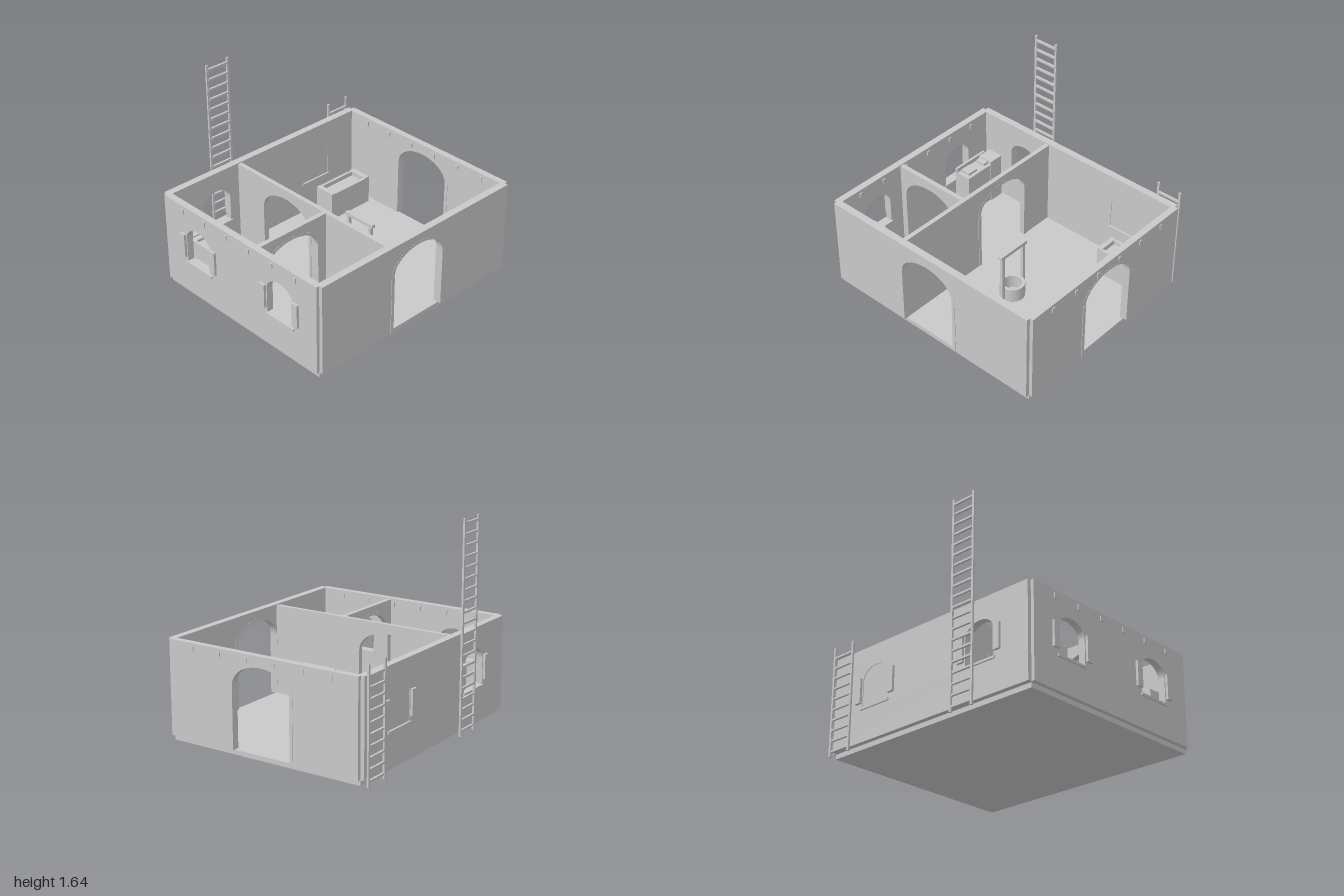
import * as THREE from 'three';

const plaster = new THREE.MeshStandardMaterial({ color: 0xc8c8c8 });
plaster.name = 'light grey plaster';

const FLOOR = 0.037, WALL0 = 0.043, WALL1 = 0.778;
const TRIM = 0.028, SPRING = 0.53;

export function createModel() {
  const root = new THREE.Group();
  root.name = 'openHouse';

  const add = (name, geo, parent = root) => {
    const m = new THREE.Mesh(geo, plaster);
    m.name = name;
    parent.add(m);
    return m;
  };
  // box given by its limits on each axis
  const box = (name, x0, x1, y0, y1, z0, z1, parent = root) => {
    const m = add(name, new THREE.BoxGeometry(x1 - x0, y1 - y0, z1 - z0), parent);
    m.position.set((x0 + x1) / 2, (y0 + y1) / 2, (z0 + z1) / 2);
    return m;
  };
  const extrude = (shape, depth) =>
    new THREE.ExtrudeGeometry(shape, { depth, bevelEnabled: false, curveSegments: 12 });

  // outline of an arched opening, left foot to right foot
  const archTo = (path, c, hw, y0, spring, top) => {
    path.lineTo(c - hw, y0);
    path.lineTo(c - hw, spring);
    path.absellipse(c, spring, hw, top - spring, Math.PI, 0, true);
    path.lineTo(c + hw, y0);
  };
  const windowShape = (c, path) => {
    path.moveTo(c - 0.134, 0.305);
    archTo(path, c, 0.134, 0.305, 0.515, 0.617);
    path.closePath();
    return path;
  };

  // wall running along local x, thickness along local z, with doors and windows
  const wall = (name, u0, u1, thick, top, doors, windows, blocked = []) => {
    const g = new THREE.Group();
    g.name = name;
    const s = new THREE.Shape();
    s.moveTo(u0, WALL0);
    for (const c of doors) archTo(s, c, 0.25 + TRIM, WALL0, SPRING, 0.715);
    s.lineTo(u1, WALL0);
    s.lineTo(u1, top);
    s.lineTo(u0, top);
    s.closePath();
    for (const c of windows) s.holes.push(windowShape(c, new THREE.Path()));
    add(name + 'Panel', extrude(s, thick), g);

    // door surrounds: arch almost flush, posts a little prouder
    for (const c of doors) {
      const o = 0.25 + TRIM;
      const r = new THREE.Shape();
      r.moveTo(c - o, SPRING);
      r.absellipse(c, SPRING, o, 0.185, Math.PI, 0, true);
      r.lineTo(c + 0.25, SPRING);
      r.absellipse(c, SPRING, 0.25, 0.165, 0, Math.PI, false);
      r.closePath();
      add('doorArch', extrude(r, thick + 0.003), g).position.z = -0.0015;
      box('doorPost', c - o, c - 0.25, WALL0, SPRING, -0.004, thick + 0.004, g);
      box('doorPost', c + 0.25, c + o, WALL0, SPRING, -0.004, thick + 0.004, g);
    }
    // closed panes set slightly back from both faces
    for (const c of blocked) {
      add('closedPane', extrude(windowShape(c, new THREE.Shape()), thick - 0.01), g).position.z = 0.005;
    }
    root.add(g);
    return g;
  };
  // sill and shutters on the outer side of the wall
  const dressWindow = (g, c, thick) => {
    box('windowSill', c - 0.147, c + 0.147, 0.29, 0.308, -0.01, thick + 0.012, g);
    for (const s of [-1, 1]) {
      const x = c + s * 0.17;
      box('shutter', x - 0.027, x + 0.027, 0.345, 0.54, thick, thick + 0.02, g);
    }
  };

  // foundation slab
  box('floorSlab', -0.802, 0.838, 0, FLOOR, -0.963, 0.952);

  // outer walls
  const front = wall('frontWall', -0.802, 0.838, 0.055, WALL1, [], [-0.423, 0.463]);
  front.position.z = 0.922;
  for (const c of [-0.423, 0.463]) dressWindow(front, c, 0.055);

  const back = wall('backWall', -0.802, 0.838, 0.052, WALL1, [0.017], []);
  back.position.z = -0.992;

  const leftSide = wall('leftSideWall', -0.963, 0.951, 0.058, WALL1, [-0.003], []);
  leftSide.rotation.y = -Math.PI / 2;
  leftSide.position.x = 0.867;

  const rightSide = wall('rightSideWall', -0.963, 0.951, 0.058, WALL1, [], [-0.527, 0.509], [-0.527]);
  rightSide.rotation.y = -Math.PI / 2;
  rightSide.position.x = -0.774;
  for (const c of [-0.527, 0.509]) dressWindow(rightSide, c, 0.058);

  // inner partitions
  const cross = wall('crossPartition', -0.775, 0.81, 0.036, 0.77, [-0.23], []);
  cross.position.z = 0.248;
  const divider = wall('roomDivider', 0.284, 0.922, 0.038, 0.77, [0.617], []);
  divider.rotation.y = -Math.PI / 2;
  divider.position.x = 0.203;

  // roof beam ends showing on both faces of the front and back walls
  for (let i = 0; i < 6; i++) {
    const x = -0.588 + i * 0.2428;
    box('beamEnd', x - 0.012, x + 0.012, 0.712, 0.752, 0.912, 0.986);
    box('beamEnd', x - 0.012, x + 0.012, 0.712, 0.752, -1, -0.93);
  }

  // upright ladders outside
  const ladder = (name, z0, z1, top, lastRung) => {
    const g = new THREE.Group();
    g.name = name;
    for (const z of [z0, z1 - 0.018]) box('ladderRail', -0.87, -0.855, 0, top, z, z + 0.018, g);
    for (let y = lastRung; y > 0.02; y -= 0.0825) {
      box('ladderRung', -0.868, -0.851, y - 0.008, y + 0.008, z0 + 0.01, z1 - 0.01, g);
    }
    root.add(g);
  };
  ladder('tallLadder', 0.265, 0.48, 1.645, 1.607);
  ladder('shortLadder', -0.966, -0.752, 0.866, 0.782);

  // well with two posts and a crossbar
  const well = new THREE.Group();
  well.name = 'well';
  const ring = [[0.072, 0], [0.098, 0], [0.098, 0.115], [0.072, 0.115], [0.072, 0]];
  const profile = [];
  for (let i = 0; i < 4; i++) { // extra points beside each corner keep the rim sharp
    const a = new THREE.Vector2(...ring[i]), b = new THREE.Vector2(...ring[i + 1]);
    profile.push(a, a.clone().lerp(b, 0.02), a.clone().lerp(b, 0.98));
  }
  profile.push(new THREE.Vector2(...ring[4]));
  add('wellRing', new THREE.LatheGeometry(profile, 24), well).position.set(0.112, WALL0, -0.16);
  for (const s of [-1, 1]) {
    const x = 0.11 + s * 0.115;
    box('wellPost', x - 0.012, x + 0.012, WALL0, 0.465, -0.172, -0.147, well);
  }
  box('wellCrossbar', -0.034, 0.252, 0.462, 0.49, -0.177, -0.145, well);
  root.add(well);

  // bed frame with raised ends and sides
  box('bedBase', -0.68, -0.543, WALL0, 0.24, -0.85, -0.51);
  box('bedHeadboard', -0.7, -0.52, WALL0, 0.28, -0.893, -0.85);
  box('bedFootboard', -0.7, -0.52, WALL0, 0.28, -0.512, -0.473);
  for (const x of [-0.7, -0.543]) box('bedRail', x, x + 0.023, WALL0, 0.275, -0.86, -0.5);

  // kitchen corner
  box('kitchenCabinet', -0.764, -0.64, FLOOR, 0.43, 0.748, 0.88);
  box('kitchenCounter', -0.645, -0.381, WALL0, 0.4, 0.753, 0.882);
  box('kitchenBackboard', -0.707, -0.381, WALL0, 0.438, 0.88, 0.9);
  box('hob', -0.638, -0.59, 0.4, 0.42, 0.782, 0.868);
  box('hob', -0.51, -0.415, 0.4, 0.42, 0.782, 0.868);

  // chest with two knobs
  box('chest', 0.509, 0.8, WALL0, 0.42, 0.788, 0.912);
  for (const x of [0.635, 0.672]) box('chestKnob', x - 0.006, x + 0.006, 0.24, 0.255, 0.777, 0.79);

  return root;
}
